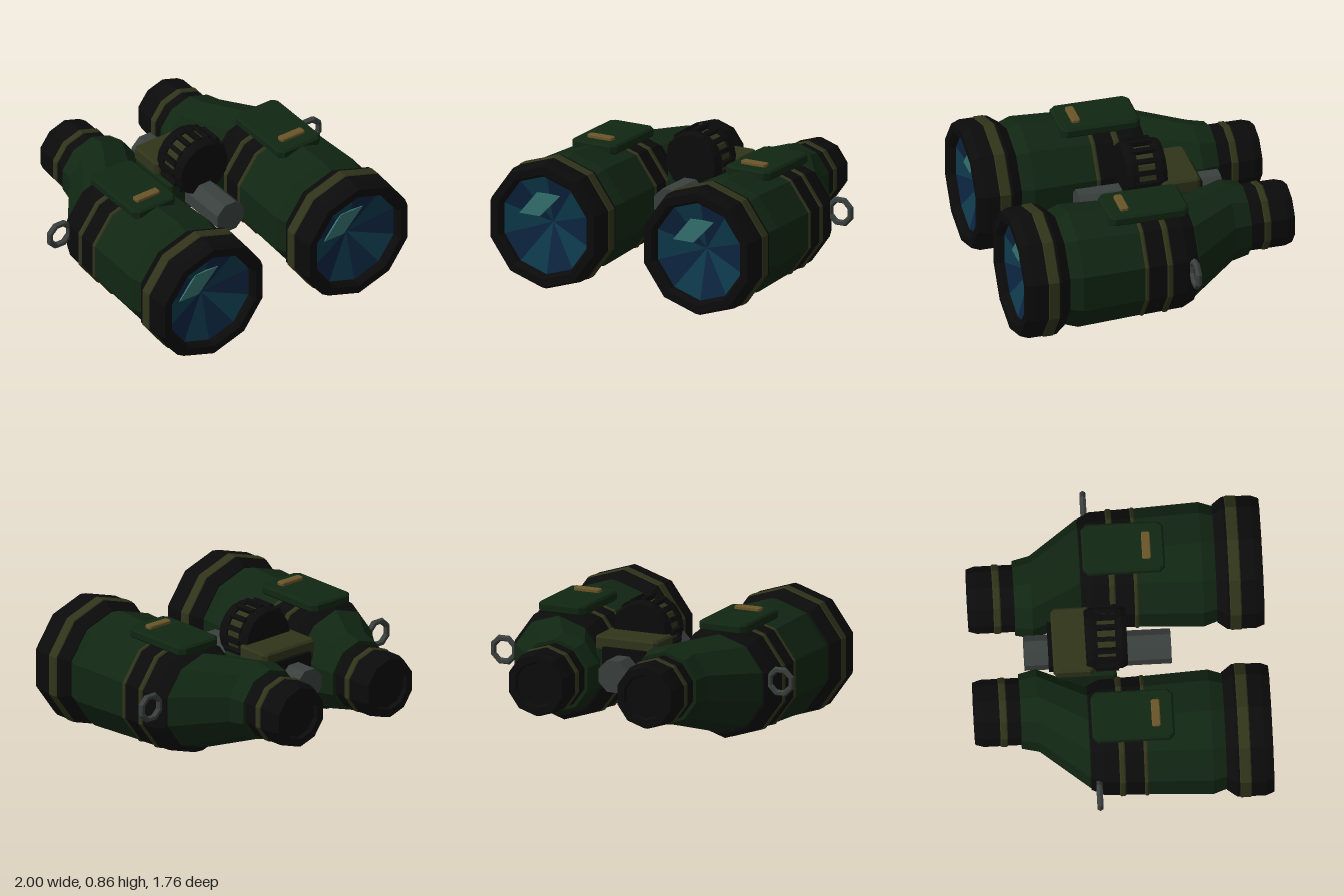
import * as THREE from 'three';

const SIDES = 10;
const mat = (color) => new THREE.MeshStandardMaterial({ color, flatShading: true });
const M = {
  green: mat(0x112613), black: mat(0x0b0b0b), olive: mat(0x30341a), brass: mat(0x6a5529),
  grey: mat(0x3a403e), lensA: mat(0x0c2440), lensB: mat(0x0e3a4c), glint: mat(0x34706f),
};

function add(parent, name, geometry, material, x = 0, y = 0, z = 0) {
  const mesh = new THREE.Mesh(geometry, material);
  mesh.name = name;
  mesh.position.set(x, y, z);
  parent.add(mesh);
  return mesh;
}

// Faceted skin through sections [z, radius, centreX, centreY], listed front to back
function loft(sections, keep = () => true) {
  const pos = [];
  const point = ([z, r, cx = 0, cy = 0], j) => {
    const a = (j / SIDES) * Math.PI * 2;
    return [cx + r * Math.sin(a), cy + r * Math.cos(a), z];
  };
  for (let i = 0; i < sections.length - 1; i++) {
    for (let j = 0; j < SIDES; j++) {
      if (!keep(j)) continue;
      const a = point(sections[i], j), b = point(sections[i], j + 1);
      const c = point(sections[i + 1], j), d = point(sections[i + 1], j + 1);
      if (sections[i][1] > 0) pos.push(...a, ...b, ...c);
      if (sections[i + 1][1] > 0) pos.push(...b, ...d, ...c);
    }
  }
  const g = new THREE.BufferGeometry();
  g.setAttribute('position', new THREE.Float32BufferAttribute(pos, 3));
  g.computeVertexNormals();
  return g;
}

// Bevelled slab lying flat, base at y = 0
function slab(w, h, d, corner, bevel) {
  const x = w / 2 - bevel, y = d / 2 - bevel, c = corner;
  const shape = new THREE.Shape([
    [-x + c, -y], [x - c, -y], [x, -y + c], [x, y - c],
    [x - c, y], [-x + c, y], [-x, y - c], [-x, -y + c],
  ].map(([px, py]) => new THREE.Vector2(px, py)));
  const g = new THREE.ExtrudeGeometry(shape, {
    depth: h - 2 * bevel, bevelThickness: bevel, bevelSize: bevel, bevelSegments: 1,
  });
  return g.translate(0, 0, bevel).rotateX(-Math.PI / 2);
}

// Raised, chamfered band around a tube
const band = (z0, z1, r) => loft([[z0, r - 0.025], [z0, r - 0.007], [z0 - 0.008, r],
  [z1 + 0.008, r], [z1, r - 0.007], [z1, r - 0.025]]);

function barrel(s) {
  const g = new THREE.Group();
  g.name = s > 0 ? 'leftBarrel' : 'rightBarrel';
  g.position.set(s * 0.53, 0.405, 0);
  const ex = -s * 0.172, ey = 0.05; // eyepiece offset from the barrel axis

  // Body, grip and tapered neck
  add(g, 'body', loft([[0.61, 0.34], [0.52, 0.37], [0.1, 0.35]]), M.green);
  add(g, 'grip', loft([[0.13, 0.34], [0.125, 0.353], [-0.13, 0.343], [-0.205, 0.308], [-0.21, 0.2]]), M.black);
  add(g, 'neck', loft([[-0.17, 0.29], [-0.21, 0.3, 0, 0.01], [-0.5, 0.246, ex, ey],
    [-0.605, 0.222, ex, ey], [-0.605, 0.15, ex, ey]]), M.green);
  add(g, 'gripBandFront', band(0.137, 0.11, 0.359), M.olive);
  add(g, 'gripBandBack', band(0, -0.037, 0.356), M.olive);

  // Objective ring and hollow faceted lens
  add(g, 'objectiveRing', loft([[0.81, 0.303], [0.86, 0.308], [0.88, 0.325], [0.88, 0.375], [0.83, 0.394],
    [0.66, 0.394], [0.6, 0.35], [0.6, 0.3]]), M.black);
  add(g, 'objectiveBand', band(0.747, 0.673, 0.399), M.olive);
  const lens = [[0.75, 0], [0.83, 0.306]];
  // Sections run from the recessed centre outwards, so facets face the front
  add(g, 'lensFacetsDark', loft(lens, (j) => j % 2 === 0), M.lensA);
  add(g, 'lensFacetsLight', loft(lens, (j) => j % 2 === 1), M.lensB);
  const glint = new THREE.Shape([[-0.2, 0.04], [-0.06, 0.04], [0.08, 0.185], [-0.08, 0.185]]
    .map(([x, y]) => new THREE.Vector2(x, y)));
  add(g, 'lensGlint', new THREE.ExtrudeGeometry(glint, { depth: 0.02, bevelEnabled: false }), M.glint, 0, 0, 0.79);

  // Eyepiece with a shallow recessed end
  const eye = new THREE.Group();
  eye.name = 'eyepiece';
  eye.position.set(ex, ey, 0);
  add(eye, 'eyecup', loft([[-0.59, 0.2], [-0.83, 0.2], [-0.88, 0.185], [-0.88, 0.14],
    [-0.855, 0.13], [-0.855, 0]]), M.black);
  add(eye, 'eyeBand', band(-0.685, -0.732, 0.206), M.olive);
  g.add(eye);

  // Top plate with small brass tag
  add(g, 'topPlate', slab(0.31, 0.06, 0.49, 0.025, 0.012), M.green, 0, 0.312, 0.056);
  add(g, 'brassTag', slab(0.17, 0.03, 0.052, 0.006, 0.005), M.brass, 0, 0.362, 0.193);

  // Strap loop
  add(g, 'strapLoop', new THREE.TorusGeometry(0.075, 0.02, 6, 8).rotateZ(Math.PI / 8),
    M.grey, s * 0.382, 0.05, -0.16);
  return g;
}

function focusWheel() {
  const g = new THREE.Group();
  g.name = 'focusWheel';
  g.position.set(0, 0.67, -0.075);
  // Chamfered end discs, the wide side towards the drum
  for (const s of [1, -1]) {
    const name = s > 0 ? 'frontFlange' : 'backFlange';
    const disc = new THREE.CylinderGeometry(0.17, 0.183, 0.03, 16).rotateX(s * Math.PI / 2);
    add(g, name, disc, M.black, 0, 0, s * 0.108);
    add(g, name + 'Rim', new THREE.CylinderGeometry(0.183, 0.183, 0.04, 16).rotateX(Math.PI / 2),
      M.black, 0, 0, s * 0.073);
  }
  add(g, 'drum', new THREE.CylinderGeometry(0.168, 0.168, 0.13, 20).rotateX(Math.PI / 2), M.olive);
  const ribs = 16;
  for (let i = 0; i < ribs; i++) {
    const a = (i / ribs) * Math.PI * 2;
    const rib = add(g, 'rib', new THREE.BoxGeometry(0.028, 0.04, 0.14), M.black,
      Math.sin(a) * 0.177, Math.cos(a) * 0.177, 0);
    rib.rotation.z = -a;
  }
  return g;
}

export function createModel() {
  const model = new THREE.Group();
  model.name = 'binoculars';
  for (const s of [1, -1]) model.add(barrel(s));

  // Centre hinge, bridge and focus wheel
  add(model, 'hingeRod', new THREE.CylinderGeometry(0.104, 0.104, 0.875, 8)
    .rotateY(Math.PI / 8).rotateX(Math.PI / 2), M.grey, 0, 0.475, -0.125);
  add(model, 'bridge', slab(0.41, 0.22, 0.36, 0.01, 0.01), M.green, 0, 0.37, -0.2);
  add(model, 'bridgePlate', slab(0.41, 0.09, 0.24, 0.015, 0.012), M.olive, 0, 0.58, -0.275);
  add(model, 'bridgeEnd', new THREE.BoxGeometry(0.28, 0.1, 0.06), M.black, 0, 0.56, -0.39);
  model.add(focusWheel());
  return model;
}
